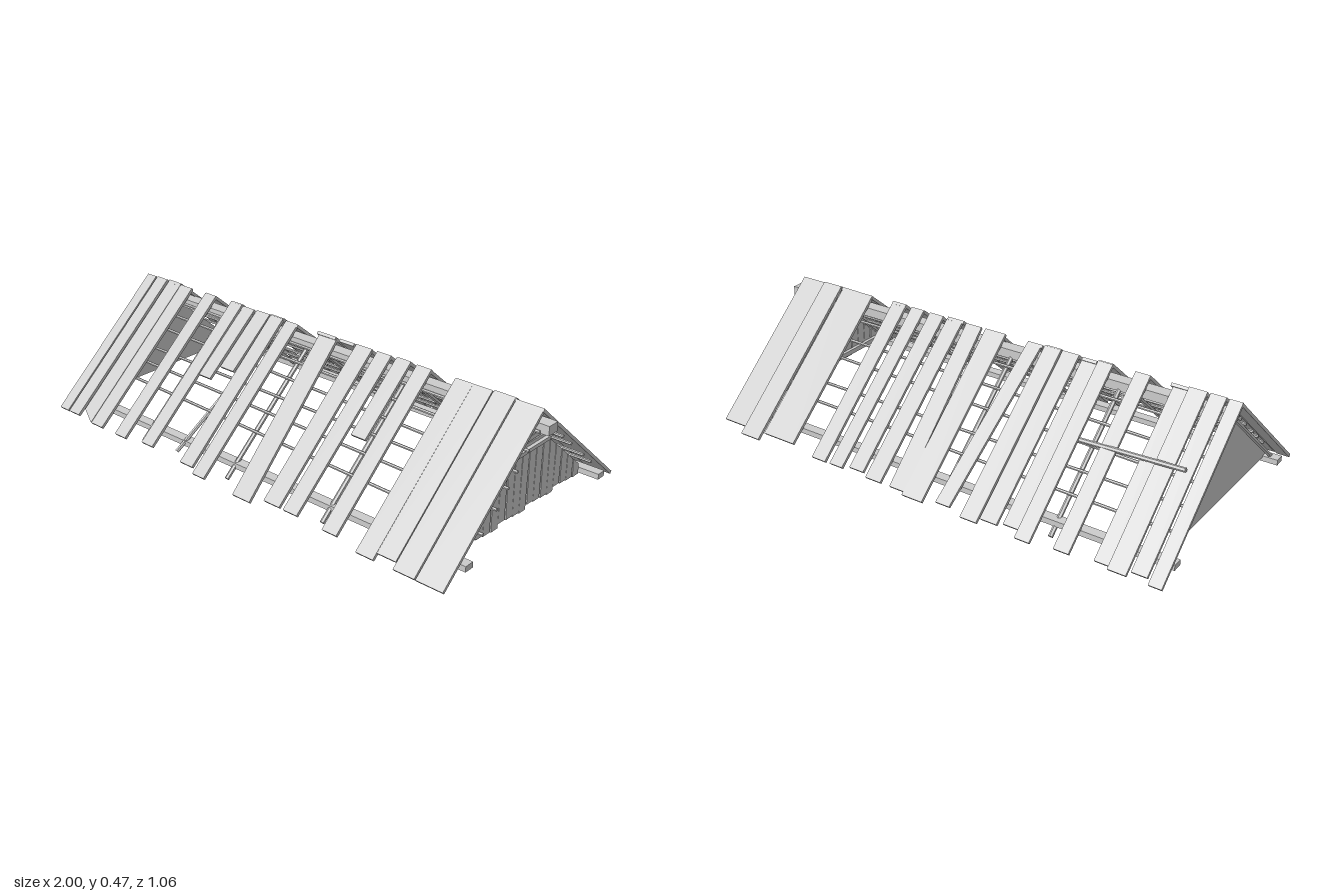
import * as THREE from 'three';

const ANGLE = 0.713; // roof pitch
const RIDGE = 0.48;
const COS = Math.cos(ANGLE), TAN = Math.tan(ANGLE);

export function createModel() {
  const root = new THREE.Group();
  root.name = 'ruinedPlankRoof';
  const mat = new THREE.MeshStandardMaterial({ color: 0xcccccc, flatShading: true });
  const sheetMat = new THREE.MeshStandardMaterial({ color: 0xcccccc, flatShading: true, side: THREE.DoubleSide });

  function add(parent, name, geo, material = mat) {
    const m = new THREE.Mesh(geo, material);
    m.name = name;
    parent.add(m);
    return m;
  }
  function box(name, w, h, d, x, y, z) {
    const m = add(root, name, new THREE.BoxGeometry(w, h, d));
    m.position.set(x, y, z);
    return m;
  }
  // round stick between two points
  function stick(parent, name, a, b, r) {
    const p = new THREE.Vector3(...a), q = new THREE.Vector3(...b);
    const m = add(parent, name, new THREE.CylinderGeometry(r, r, p.distanceTo(q), 6));
    m.position.copy(p).add(q).multiplyScalar(0.5);
    m.quaternion.setFromUnitVectors(new THREE.Vector3(0, 1, 0), q.sub(p).normalize());
    return m;
  }

  // Local frame of one roof side: y is away from the roof, z runs down the slope.
  function slope(name, side) {
    const turn = new THREE.Group();
    turn.name = name;
    turn.rotation.y = side > 0 ? 0 : Math.PI;
    const g = new THREE.Group();
    g.rotation.x = ANGLE;
    g.position.y = RIDGE;
    turn.add(g);
    root.add(turn);
    return g;
  }

  // Plank: [x at ridge, x at eave, width, horizontal reach, depth below roof line, end skew]
  function planks(g, side, rows) {
    rows.forEach(([xt, xb, w, reach, drop = 0.012, skew = 0], i) => {
      const geo = new THREE.BoxGeometry(w, 0.012, 1);
      const p = geo.attributes.position;
      const lift = (i % 3) * 0.003;
      for (let k = 0; k < p.count; k++) {
        const t = p.getZ(k) + 0.5, x = p.getX(k);
        const end = reach / COS + skew * x / w;
        p.setXYZ(k, side * (x + xt + (xb - xt) * t), p.getY(k) - drop + lift, 0.004 + (end - 0.004) * t);
      }
      if (side < 0) { // mirrored: restore the corner order
        const ix = geo.index.array;
        for (let k = 0; k < ix.length; k += 3) [ix[k], ix[k + 1]] = [ix[k + 1], ix[k]];
      }
      geo.computeVertexNormals();
      add(g, 'roofPlank', geo);
    });
  }

  const front = slope('frontSlope', 1), back = slope('backSlope', -1);
  planks(front, 1, [
    [-0.975, -0.975, 0.05, 0.51], [-0.91, -0.91, 0.06, 0.51], [-0.835, -0.835, 0.07, 0.5, 0.018, 0.04],
    [-0.765, -0.765, 0.065, 0.515], [-0.62, -0.62, 0.06, 0.515], [-0.47, -0.47, 0.06, 0.505],
    [-0.405, -0.41, 0.06, 0.25], [-0.325, -0.33, 0.07, 0.205], [-0.25, -0.245, 0.065, 0.51],
    [-0.175, -0.17, 0.06, 0.525], [0.01, 0.055, 0.085, 0.53, 0.02], [0.19, 0.195, 0.075, 0.51],
    [0.28, 0.28, 0.065, 0.51], [0.37, 0.37, 0.065, 0.25], [0.465, 0.47, 0.065, 0.515],
    [0.635, 0.635, 0.075, 0.53], [0.715, 0.715, 0.08, 0.51], [0.803, 0.803, 0.088, 0.53, 0.014],
    [0.905, 0.905, 0.11, 0.53],
  ]);
  planks(back, -1, [
    [-0.975, -0.975, 0.05, 0.525], [-0.91, -0.91, 0.06, 0.51], [-0.835, -0.835, 0.07, 0.525],
    [-0.77, -0.77, 0.06, 0.515, 0.018], [-0.62, -0.62, 0.06, 0.525], [-0.47, -0.47, 0.06, 0.535],
    [-0.405, -0.405, 0.065, 0.51, 0.018], [-0.325, -0.32, 0.07, 0.52], [-0.25, -0.245, 0.07, 0.535],
    [-0.17, -0.12, 0.06, 0.52], [0.005, 0.005, 0.09, 0.535], [0.105, 0.08, 0.07, 0.525, 0.016],
    [0.195, 0.195, 0.07, 0.525], [0.28, 0.28, 0.065, 0.515], [0.37, 0.37, 0.06, 0.525],
    [0.465, 0.46, 0.065, 0.525], [0.675, 0.675, 0.15, 0.51], [0.805, 0.805, 0.09, 0.535],
    [0.907, 0.907, 0.11, 0.51],
  ]);

  // Thin battens along the roof, slightly askew, and rafters below them
  const reaches = [[0.07, 0.12, 0.175, 0.235, 0.29, 0.355], [0.1, 0.17, 0.235, 0.315, 0.38]];
  [[front, 1], [back, -1]].forEach(([g, side], i) => {
    reaches[i].forEach((z, k) => {
      const tilt = ((k % 3) - 1) * 0.008;
      stick(g, 'batten', [-0.97, -0.036, (z - 0.025) / COS - tilt], [0.97, -0.036, (z - 0.025) / COS + tilt + 0.025], 0.006);
    });
    [-0.96, -0.54, -0.08, 0.39, 0.85].forEach(x =>
      stick(g, 'rafter', [x * side, -0.05, 0.03], [x * side, -0.05, 0.65], 0.009));
  });

  // Loose broken sticks
  stick(root, 'looseBatten', [-0.92, 0.3, -0.235], [-0.4, 0.265, -0.212], 0.009);
  stick(root, 'fallenBatten', [-0.29, 0.26, 0.2], [-0.36, 0.03, 0.45], 0.008);

  // Ridge and eave beams
  box('ridgeBeam', 1.98, 0.036, 0.052, 0.01, 0.412, 0);
  box('frontEaveBeam', 1.97, 0.022, 0.04, -0.015, 0.057, 0.4);
  box('backEaveBeam', 1.97, 0.022, 0.04, -0.015, 0.057, -0.415);

  // Boarded gable: upright boards cut to the pitch
  const under = z => RIDGE - 0.065 - TAN * Math.abs(z);
  const GX = 0.9, COUNT = 17, STEP = 0.0425;
  for (let i = 0; i < COUNT; i++) {
    const z = (i - (COUNT - 1) / 2) * STEP, h = 0.0195;
    const low = 0.062 + ((i * 5) % 4) * 0.005, lean = ((i * 3) % 5 - 2) * 0.0015;
    const topAt = v => Math.max(low + 0.012, Math.min(0.297, under(v)));
    const s = new THREE.Shape();
    s.moveTo(z - h + lean, low);
    s.lineTo(z + h + lean, low);
    s.lineTo(z + h, topAt(z + h));
    s.lineTo(z - h, topAt(z - h));
    const geo = new THREE.ExtrudeGeometry(s, { depth: 0.01, bevelEnabled: false });
    geo.rotateY(-Math.PI / 2).translate(GX + 0.005, 0, 0);
    add(root, 'gableBoard', geo);
  }
  // Level boards above, and rails behind
  for (let k = 0; k < 5; k++) {
    const y = 0.312 + k * 0.02;
    box('gableTopBoard', 0.01, 0.017, 2 * (RIDGE - 0.05 - y) / TAN, GX - 0.004, y, 0).rotation.x = (k % 2 ? 1 : -1) * 0.015;
  }
  box('gableRail', 0.014, 0.014, 0.27, GX + 0.008, 0.3, 0);
  box('gableLowerRail', 0.014, 0.02, 0.72, GX - 0.014, 0.085, 0);

  // Closed triangular gable at the other end
  const tri = new THREE.Shape();
  tri.moveTo(-0.42, 0.06);
  tri.lineTo(0.42, 0.06);
  tri.lineTo(0, 0.43);
  const triGeo = new THREE.ShapeGeometry(tri);
  triGeo.rotateY(-Math.PI / 2).translate(-0.94, 0, 0);
  add(root, 'closedGable', triGeo, sheetMat);

  return root;
}
